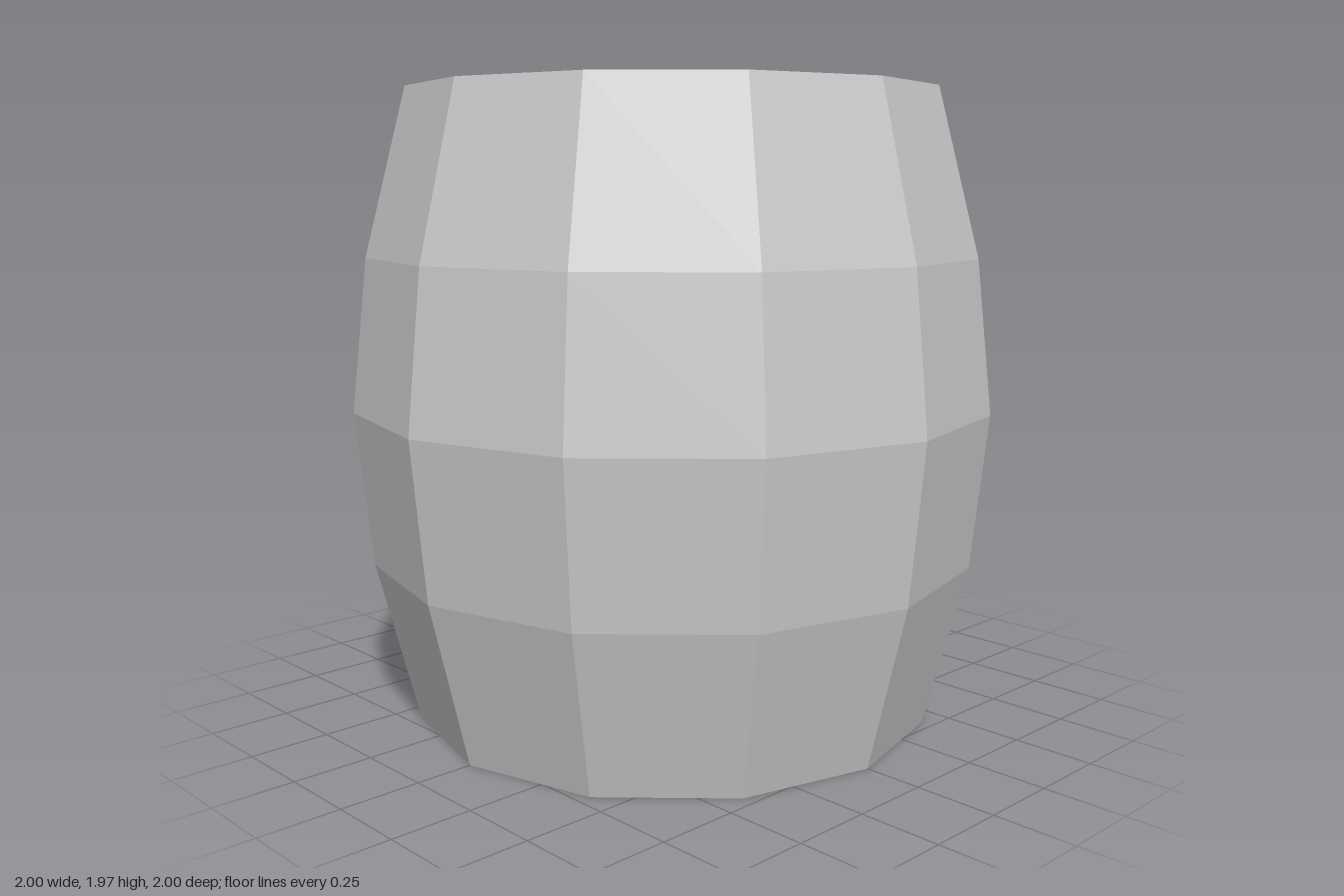
import * as THREE from 'three';

const SIDES = 12;

// Faceted ring surface turned from [radius, height] pairs
function turned(name, profile) {
  const points = profile.map(([r, y]) => new THREE.Vector2(r, y));
  const material = new THREE.MeshStandardMaterial({ color: 0xcccccc, flatShading: true });
  const mesh = new THREE.Mesh(new THREE.LatheGeometry(points, SIDES), material);
  mesh.name = name;
  return mesh;
}

export function createModel() {
  const barrel = new THREE.Group();
  barrel.name = 'barrel';

  // Bulging outer staves
  barrel.add(turned('outerWall', [[0.82, 0], [0.95, 0.51], [1, 0.99], [0.95, 1.46], [0.82, 1.97]]));
  // Flat top rim
  barrel.add(turned('rim', [[0.82, 1.97], [0.667, 1.97]]));
  // Hollow inside, widening towards the floor
  barrel.add(turned('innerWall', [[0.667, 1.97], [0.8, 0.15]]));
  barrel.add(turned('innerFloor', [[0.8, 0.15], [0, 0.15]]));
  // Closed underside
  barrel.add(turned('base', [[0, 0], [0.82, 0]]));

  return barrel;
}
